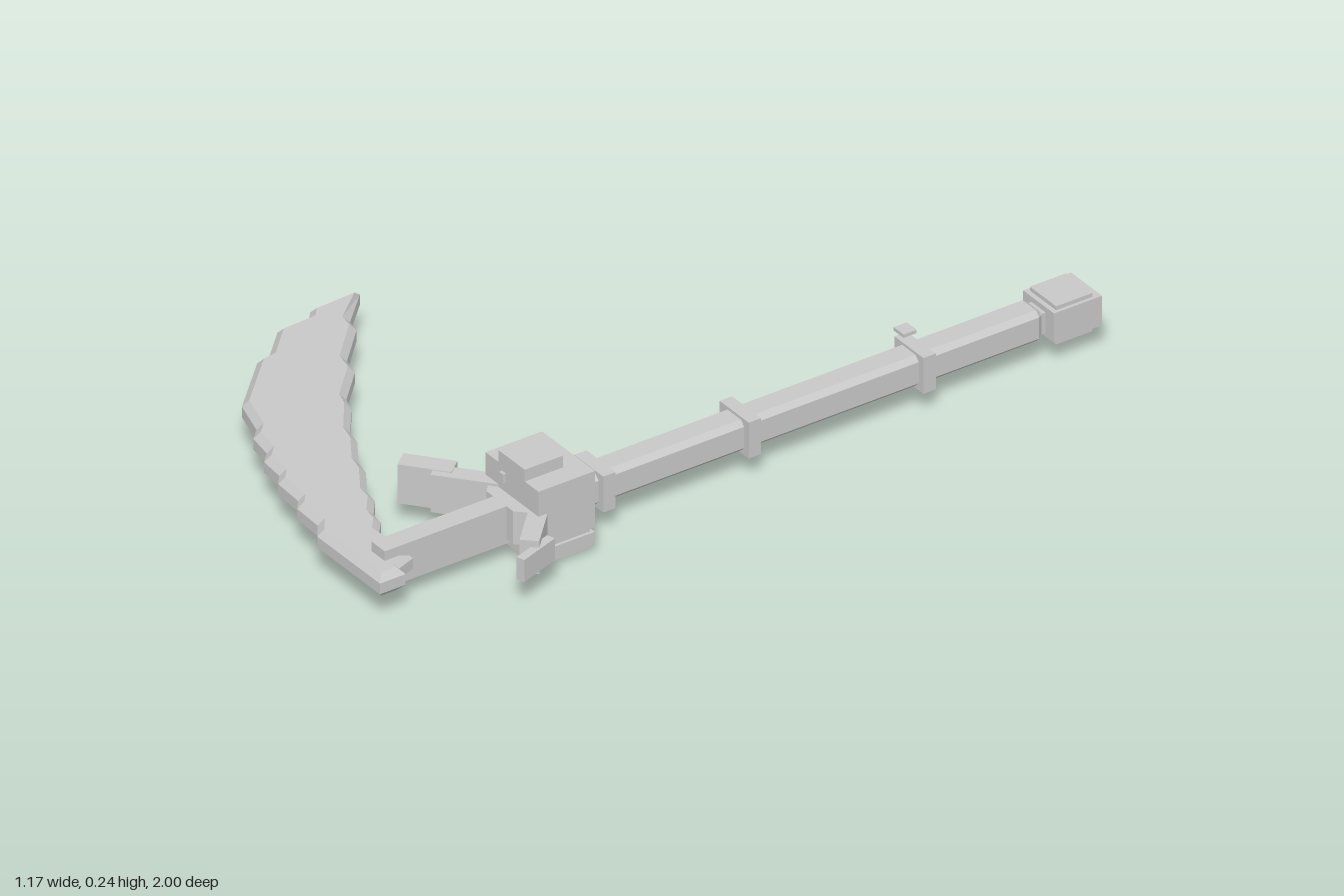
import * as THREE from 'three';

export function createModel() {
  const model = new THREE.Group();
  model.name = 'scythe';
  const grey = new THREE.MeshStandardMaterial({ color: 0xc8c8c8 });
  grey.name = 'lightGrey';

  const add = (name, geometry) => {
    const mesh = new THREE.Mesh(geometry, grey);
    mesh.name = name;
    model.add(mesh);
    return mesh;
  };
  // Box given by its extents along each axis
  const box = (name, x0, x1, y0, y1, z0, z1) => {
    const mesh = add(name, new THREE.BoxGeometry(x1 - x0, y1 - y0, z1 - z0));
    mesh.position.set((x0 + x1) / 2, (y0 + y1) / 2, (z0 + z1) / 2);
  };
  // Flat bar running between two points seen from above
  const bar = (name, ax, az, bx, bz, width, y0, y1) => {
    const mesh = add(name, new THREE.BoxGeometry(Math.hypot(bx - ax, bz - az), y1 - y0, width));
    mesh.position.set((ax + bx) / 2, (y0 + y1) / 2, (az + bz) / 2);
    mesh.rotation.y = -Math.atan2(bz - az, bx - ax);
  };
  const shapeOf = (points) => new THREE.Shape(points.map(([x, y]) => new THREE.Vector2(x, y)));
  // Outline in x and z, standing between two heights
  const plate = (name, points, y0, y1, bevel = 0, inset = bevel) => {
    const geometry = new THREE.ExtrudeGeometry(shapeOf(points), {
      depth: y1 - y0 - 2 * bevel, bevelEnabled: bevel > 0, bevelThickness: bevel,
      bevelSize: inset, bevelOffset: -inset, bevelSegments: 1,
    });
    geometry.rotateX(Math.PI / 2);
    geometry.translate(0, y1 - bevel, 0);
    add(name, geometry);
  };

  const cx = 0.373;
  const cy = 0.106;

  // Shaft: chamfered square bar with bevelled ends
  const w = 0.039, h = 0.041, c = 0.013;
  const section = [[-w + c, -h], [w - c, -h], [w, -h + c], [w, h - c],
    [w - c, h], [-w + c, h], [-w, h - c], [-w, -h + c]];
  const shaft = new THREE.ExtrudeGeometry(shapeOf(section), {
    depth: 1.237, bevelEnabled: true, bevelThickness: 0.015,
    bevelSize: 0.012, bevelOffset: -0.012, bevelSegments: 1,
  });
  shaft.translate(cx, cy, -0.842);
  add('shaft', shaft);

  // Shaft rings
  for (const z of [-0.528, -0.048, 0.352]) {
    box('shaftRing', cx - 0.057, cx + 0.057, 0.059, 0.154, z - 0.017, z + 0.017);
  }

  // Bracket on one ring
  box('bracketStem', 0.308, 0.323, 0.045, 0.163, -0.552, -0.532);
  box('bracketTop', 0.298, 0.337, 0.156, 0.165, -0.558, -0.522);
  box('bracketBottom', 0.298, 0.337, 0.043, 0.052, -0.558, -0.522);

  // Pommel
  box('pommelNeck', 0.345, 0.4, 0.078, 0.132, -0.88, -0.84);
  box('pommel', 0.312, 0.433, 0.068, 0.146, -1, -0.868);
  box('pommelCore', 0.321, 0.424, 0.055, 0.156, -0.98, -0.88);

  // Head block, its cap, lower plate and foot
  box('headNeck', 0.345, 0.4, 0.07, 0.125, 0.39, 0.44);
  box('headBlock', 0.27, 0.477, 0.064, 0.213, 0.425, 0.58);
  box('headRecess', 0.278, 0.469, 0.048, 0.066, 0.433, 0.574);
  box('headPlate', 0.27, 0.477, 0.015, 0.052, 0.425, 0.583);
  box('headCap', 0.32, 0.423, 0.21, 0.244, 0.475, 0.58);
  box('headFoot', 0.31, 0.376, 0, 0.016, 0.5, 0.567);
  box('upperStud', 0.335, 0.35, 0.173, 0.197, 0.575, 0.588);
  box('lowerStud', 0.335, 0.35, 0.018, 0.036, 0.575, 0.591);

  // Collar in front of the head
  plate('collar', [[0.285, 0.57], [0.46, 0.57], [0.46, 0.58], [0.425, 0.613],
    [0.32, 0.613], [0.285, 0.58]], 0.06, 0.147);

  // Guard arms
  bar('rightArm', 0.31, 0.56, 0.185, 0.665, 0.045, 0.055, 0.154);
  bar('rightArmEnd', 0.205, 0.62, 0.107, 0.7, 0.05, 0.053, 0.156);
  bar('leftArm', 0.455, 0.565, 0.548, 0.655, 0.045, 0.06, 0.147);
  bar('leftArmEnd', 0.54, 0.59, 0.577, 0.7, 0.022, 0.072, 0.13);

  // Arm holding the blade
  box('bladeArm', 0.347, 0.399, 0.048, 0.147, 0.57, 0.948);

  // Blade with stepped edges and bevelled rims
  const blade = [
    [-0.585, 0.325], [-0.5, 0.412], [-0.465, 0.418], [-0.368, 0.513], [-0.32, 0.524],
    [-0.235, 0.608], [-0.198, 0.62], [-0.114, 0.682], [-0.071, 0.693], [0.003, 0.741],
    [0.045, 0.751], [0.119, 0.799], [0.156, 0.804], [0.203, 0.841], [0.24, 0.847],
    [0.272, 0.874], [0.346, 0.868], [0.404, 0.874], [0.422, 0.925], [0.45, 0.926],
    [0.45, 0.997], [0.205, 0.997], [0.167, 0.969], [0.082, 0.966], [0.056, 0.945],
    [-0.029, 0.94], [-0.056, 0.918], [-0.124, 0.912], [-0.151, 0.886], [-0.219, 0.875],
    [-0.246, 0.847], [-0.346, 0.817], [-0.478, 0.682], [-0.484, 0.645], [-0.558, 0.571],
    [-0.563, 0.481], [-0.587, 0.46],
  ];
  plate('blade', blade, 0.06, 0.122, 0.017, 0.016);

  return model;
}
